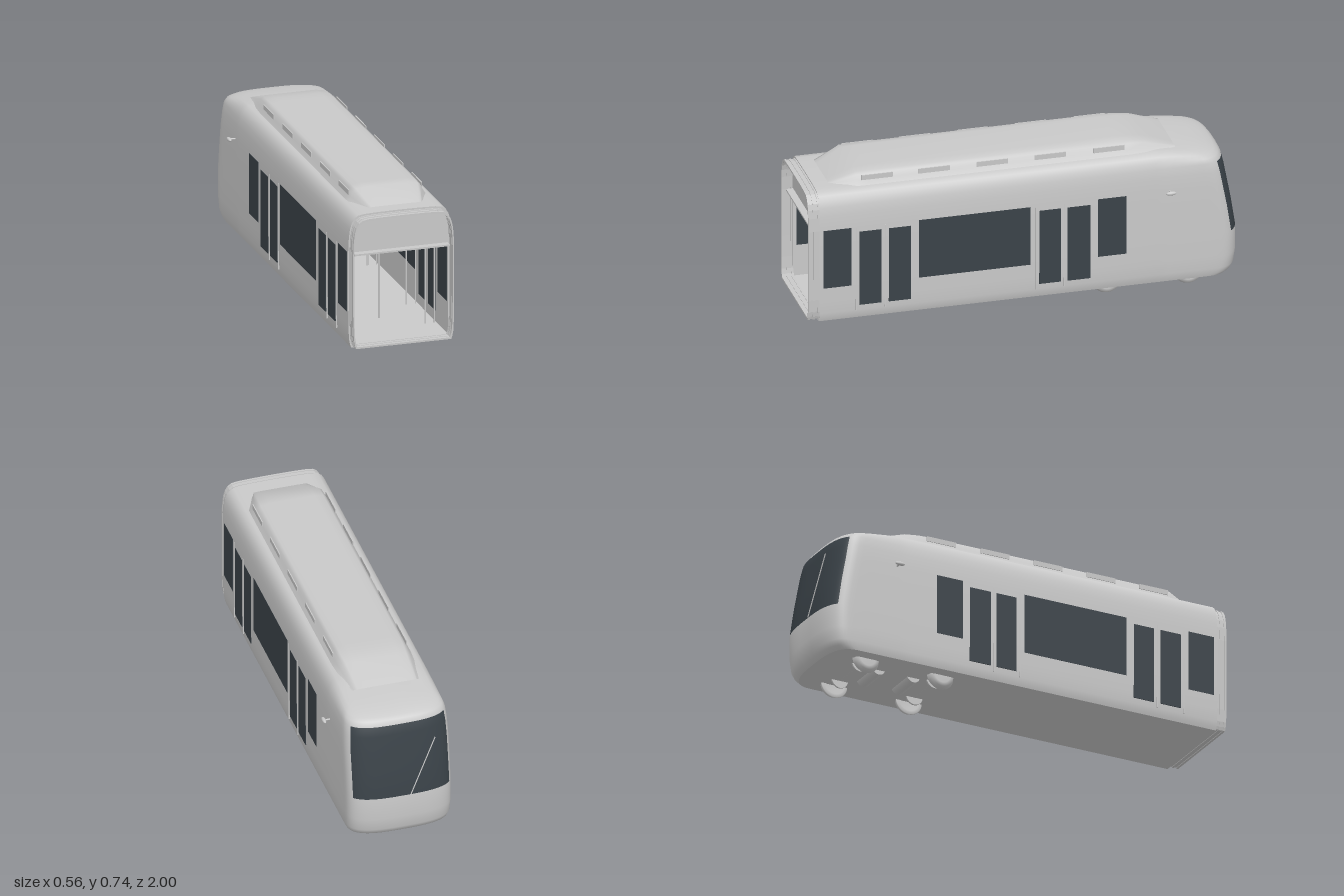
import * as THREE from 'three';

const mat = (name, color, side = THREE.FrontSide) => {
  const m = new THREE.MeshStandardMaterial({ color, side });
  m.name = name;
  return m;
};

// shell rows from sill to roof: half width, height along the body, nose z, height at the nose
const ROWS = [
  [0.229, 0.06, -0.955, 0.06], [0.234, 0.075, -0.975, 0.075], [0.239, 0.1, -0.988, 0.1],
  [0.242, 0.16, -0.996, 0.16], [0.243, 0.27, -0.995, 0.27], [0.243, 0.4, -0.975, 0.4],
  [0.243, 0.51, -0.956, 0.5], [0.24, 0.575, -0.943, 0.57], [0.235, 0.615, -0.932, 0.615],
  [0.227, 0.643, -0.917, 0.635], [0.214, 0.665, -0.9, 0.645], [0.196, 0.678, -0.87, 0.656],
  [0.165, 0.683, -0.82, 0.667], [0.1, 0.685, -0.74, 0.677], [0, 0.686, -0.62, 0.685],
];
const REAR = 0.95, Z0 = -0.6, STRAIGHT = 6, CORNER = 32;

// point of the shell: column i runs along the left side, round the nose and back
function shellPoint(i, j) {
  const [w, yb, zf, yn] = ROWS[j];
  const r = Math.min(0.12, (Z0 - zf) * 0.5), zc = zf + r;
  const last = 2 * STRAIGHT + CORNER;
  const k = Math.min(i, last - i);
  let x = w * (i < last / 2 ? 1 : -1), z;
  if (k < STRAIGHT) {
    z = k === 0 ? REAR : Z0 + (zc - Z0) * (k - 1) / 5;
  } else {
    const a = Math.PI / 2 * (1 - 2 * (k - STRAIGHT) / CORNER);
    x *= Math.pow(Math.max(0, Math.sin(a)), 2 / 3);
    z = zc - r * Math.pow(Math.max(0, Math.cos(a)), 2 / 3);
  }
  const f = THREE.MathUtils.smoothstep(Z0 - z, 0, Z0 - zf);
  return [x, yb + (yn - yb) * f, z];
}

// surface through a grid of points; cells picked by isSecond use the second material
function gridSurface(nu, nv, point, isSecond = () => false) {
  const pos = [], first = [], second = [];
  for (let i = 0; i < nu; i++) for (let j = 0; j < nv; j++) pos.push(...point(i, j));
  for (let i = 0; i < nu - 1; i++) for (let j = 0; j < nv - 1; j++) {
    const a = i * nv + j, b = a + nv;
    (isSecond(i, j) ? second : first).push(a, b, b + 1, a, b + 1, a + 1);
  }
  const g = new THREE.BufferGeometry();
  g.setAttribute('position', new THREE.Float32BufferAttribute(pos, 3));
  g.setIndex([...first, ...second]);
  g.addGroup(0, first.length, 0);
  g.addGroup(first.length, second.length, 1);
  g.computeVertexNormals();
  return g;
}

// body cross-section, scaled about its middle
function sectionPoints(s) {
  const half = ROWS.map(([w, y]) => new THREE.Vector2(w * s, 0.374 + (y - 0.374) * s));
  return [...half, ...half.slice(0, -1).reverse().map(p => new THREE.Vector2(-p.x, p.y))];
}

export function createModel() {
  const root = new THREE.Group();
  root.name = 'tramCar';
  const body = mat('bodyGrey', 0xc8c8c8);
  const sheet = mat('panelGrey', 0xc9c9c9, THREE.DoubleSide);
  const glass = mat('darkGlass', 0x3a4248);

  const add = (name, geo, material, x = 0, y = 0, z = 0) => {
    const m = new THREE.Mesh(geo, material);
    m.name = name;
    m.position.set(x, y, z);
    root.add(m);
    return m;
  };
  // box given by its limits
  const box = (name, x0, x1, y0, y1, z0, z1, material = body) =>
    add(name, new THREE.BoxGeometry(x1 - x0, y1 - y0, z1 - z0), material,
      (x0 + x1) / 2, (y0 + y1) / 2, (z0 + z1) / 2);
  // the same box on both sides
  const pair = (name, x0, x1, ...rest) => {
    box(name, x0, x1, ...rest);
    box(name, -x1, -x0, ...rest);
  };
  // rod between two points
  const rod = (name, a, b, r) => {
    const p = new THREE.Vector3(...a), q = new THREE.Vector3(...b);
    const m = add(name, new THREE.CylinderGeometry(r, r, p.distanceTo(q), r > 0.01 ? 32 : 12), body);
    m.position.copy(p).lerp(q, 0.5);
    m.quaternion.setFromUnitVectors(new THREE.Vector3(0, 1, 0), q.sub(p).normalize());
  };

  // outer shell with wrap-round windscreen
  const cols = 2 * STRAIGHT + CORNER + 1;
  add('bodyShell', gridSurface(cols, ROWS.length, shellPoint,
    (i, j) => i >= 11 && i < 33 && j >= 4 && j < 8), [sheet, glass]);

  // flat underside
  const plan = [];
  for (let i = 0; i < cols; i++) {
    const [x, , z] = shellPoint(i, 0);
    plan.push(new THREE.Vector2(x, z));
  }
  const under = new THREE.ShapeGeometry(new THREE.Shape(plan));
  under.rotateX(Math.PI / 2);
  add('underside', under, sheet, 0, 0.06, 0);

  // saloon lining, facing inwards and open at the gangway end
  const lining = new THREE.BoxGeometry(0.45, 0.43, 1.447);
  lining.scale(-1, 1, 1);
  lining.setIndex([...lining.index.array].filter((_, i) => i < 24 || i >= 30));
  lining.computeVertexNormals();
  add('saloonLining', lining, sheet, 0, 0.29, 0.2235);

  // end bulkhead round the saloon opening
  const wall = new THREE.Shape(sectionPoints(1));
  wall.holes.push(new THREE.Path([[-0.225, 0.075], [-0.225, 0.505], [0.225, 0.505], [0.225, 0.075]]
    .map(p => new THREE.Vector2(...p))));
  add('endBulkhead', new THREE.ShapeGeometry(wall), sheet, 0, 0, 0.948);
  box('bulkheadLedge', -0.222, 0.222, 0.499, 0.507, 0.935, 0.98);

  // gangway bellows made of stacked rings
  for (let i = 0; i < 5; i++) {
    const ring = new THREE.Shape(sectionPoints(i % 2 ? 0.964 : 0.972));
    ring.holes.push(new THREE.Path(sectionPoints(i % 2 ? 0.952 : 0.946)));
    add('gangwayRing', new THREE.ExtrudeGeometry(ring, { depth: 0.011, bevelEnabled: false }),
      body, 0, 0, 0.945 + i * 0.011);
  }

  // side and door windows: z range, y range; dark on both faces of the wall
  const windows = [
    [0.804, 0.932, 0.225, 0.508], [0.665, 0.766, 0.125, 0.485], [0.53, 0.632, 0.125, 0.485],
    [-0.02, 0.493, 0.225, 0.508], [-0.16, -0.06, 0.125, 0.485], [-0.295, -0.19, 0.125, 0.485],
    [-0.46, -0.33, 0.225, 0.508],
  ];
  for (const [z0, z1, y0, y1] of windows) {
    pair('sideWindow', 0.236, 0.2438, y0, y1, z0, z1, glass);
    pair('innerWindow', 0.223, 0.2256, y0, Math.min(y1, 0.495), z0, z1, glass);
  }
  // door seals
  for (const z of [0.782, 0.648, -0.043, -0.175])
    pair('doorSeal', 0.236, 0.2448, 0.1, 0.505, z - 0.002, z + 0.002);

  // roof equipment fairing: z, base half width, top half width, top height
  const stations = [
    [0.88, 0.13, 0.12, 0.686], [0.76, 0.183, 0.153, 0.741], [0.7, 0.184, 0.155, 0.742],
    [-0.44, 0.184, 0.155, 0.742], [-0.5, 0.184, 0.155, 0.74], [-0.57, 0.18, 0.15, 0.732],
    [-0.71, 0.155, 0.14, 0.68],
  ];
  add('roofFairing', gridSurface(stations.length, 10, (i, j) => {
    const [z, b, t, y] = stations[i];
    const k = Math.min(j, 9 - j), s = j < 5 ? 1 : -1;
    return [s * [b, (b + t) / 2, t + 0.003, t - 0.01, t * 0.68][k],
      0.678 + (y - 0.678) * [0, 0.36, 0.74, 0.9, 1][k], z];
  }), body);
  // vent plates along the fairing
  for (const z of [0.667, 0.403, 0.137, -0.13, -0.4])
    pair('roofVent', 0.168, 0.1725, 0.702, 0.725, z - 0.072, z + 0.072);

  // mirrors
  for (const s of [1, -1]) {
    rod('mirrorArm', [s * 0.238, 0.509, -0.66], [s * 0.27, 0.509, -0.66], 0.004);
    add('mirror', new THREE.SphereGeometry(0.009, 16, 12), body, s * 0.271, 0.509, -0.66)
      .scale.set(1, 1, 2.7);
  }
  // windscreen wiper
  rod('wiperArm', [-0.03, 0.27, -0.997], [-0.15, 0.54, -0.972], 0.0025);

  // saloon end wall: display, cab door window and seats
  box('displayFrame', -0.063, 0.063, 0.443, 0.488, -0.5, -0.494);
  box('displayScreen', -0.058, 0.058, 0.447, 0.484, -0.494, -0.491, glass);
  box('cabDoorWindow', -0.165, -0.061, 0.32, 0.412, -0.5, -0.495, glass);
  for (const [x0, x1] of [[0.045, 0.133], [0.136, 0.224]]) {
    pair('seatBack', x0, x1, 0.15, 0.295, -0.498, -0.48);
    pair('seatCushion', x0, x1, 0.15, 0.17, -0.48, -0.42);
  }
  // grab poles
  for (const z of [0.648, -0.175]) {
    rod('centrePole', [0, 0.075, z], [0, 0.505, z], 0.004);
    for (const s of [1, -1]) {
      for (const dz of [-0.135, 0.135]) {
        rod('doorPole', [s * 0.172, 0.075, z + dz], [s * 0.172, 0.495, z + dz], 0.004);
        rod('wallRail', [s * 0.215, 0.075, z + dz], [s * 0.215, 0.5, z + dz], 0.003);
      }
    }
  }

  // bogie: wheels with flanges, axle boxes, axles, brake discs and motors
  const tread = [[0, -0.008], [0.035, -0.008], [0.05, -0.012], [0.064, -0.01], [0.067, -0.006],
    [0.061, -0.002], [0.057, 0.015], [0.04, 0.018], [0, 0.018]].map(p => new THREE.Vector2(...p));
  for (const z of [-0.395, -0.77]) {
    rod('axle', [-0.16, 0.067, z], [0.16, 0.067, z], 0.008);
    for (const s of [1, -1]) {
      add('wheel', new THREE.LatheGeometry(tread, 32), sheet, s * 0.155, 0.067, z)
        .rotation.z = -s * Math.PI / 2;
      rod('axleBox', [s * 0.16, 0.083, z], [s * 0.188, 0.083, z], 0.02);
      rod('brakeDisc', [s * 0.093, 0.067, z], [s * 0.101, 0.067, z], 0.041);
      box('brakeCaliper', s * 0.097 - 0.013, s * 0.097 + 0.013, 0.098, 0.12, z - 0.015, z + 0.015);
    }
  }
  for (const z of [-0.495, -0.67]) rod('motor', [-0.087, 0.072, z], [0.062, 0.072, z], 0.033);

  return root;
}
